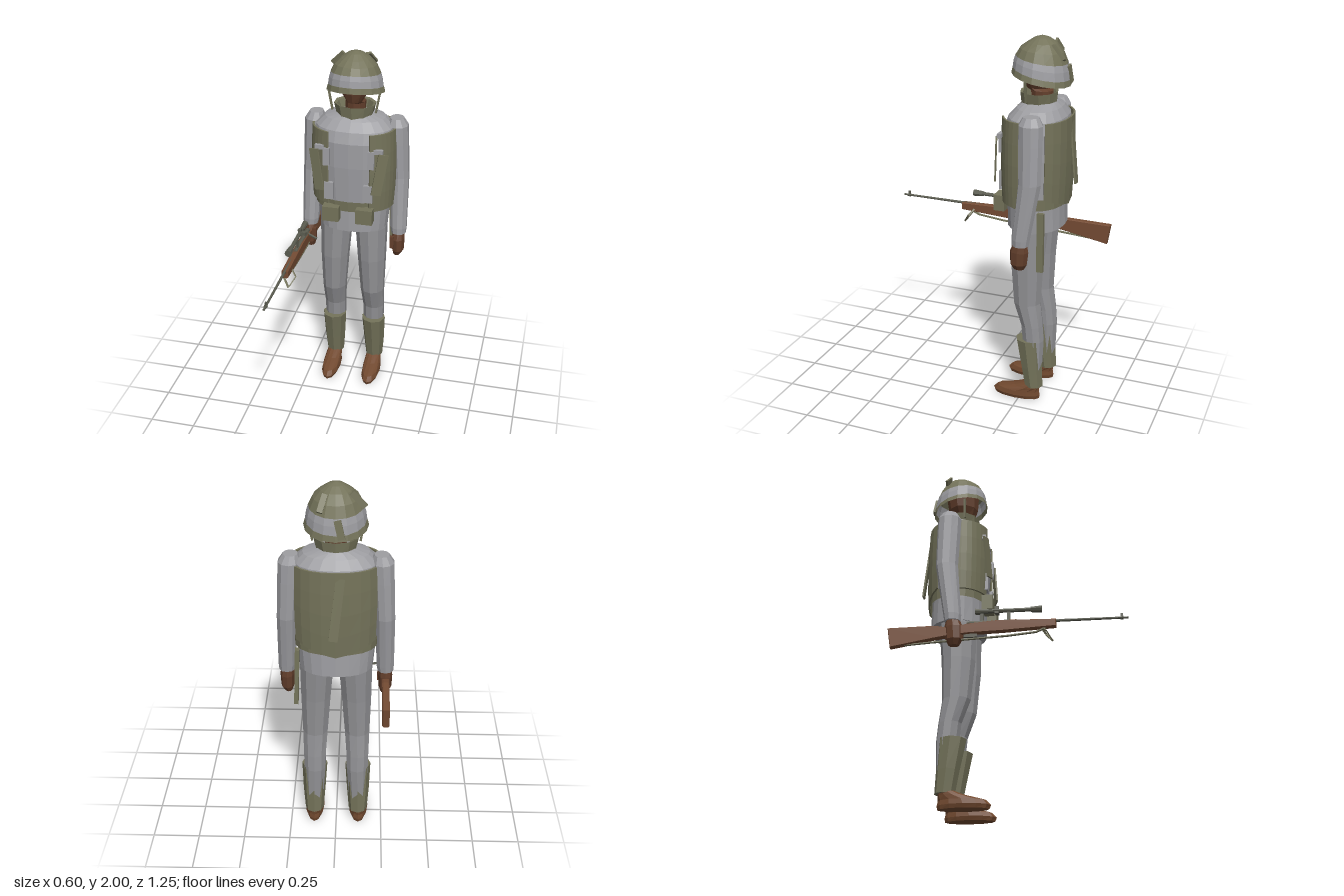
import * as THREE from 'three';

const mat = (name, color, double) => {
  const m = new THREE.MeshStandardMaterial({ color, flatShading: true });
  m.name = name;
  if (double) m.side = THREE.DoubleSide;
  return m;
};

export function createModel() {
  const jacket = mat('jacketGrey', 0x9e9ea2, true);
  const trousers = mat('trouserGrey', 0x929295);
  const olive = mat('olive', 0x74735a, true);
  const skin = mat('skinBrown', 0x633f2c);
  const leather = mat('shoeBrown', 0x71492f);
  const wood = mat('woodBrown', 0x754c34);
  const metal = mat('gunMetal', 0x5b5c50);

  const model = new THREE.Group();
  model.name = 'soldier';
  let target = model;
  const add = (name, geo, material) => {
    const mesh = new THREE.Mesh(geo, material);
    mesh.name = name;
    target.add(mesh);
    return mesh;
  };

  // Grid surface from fn(column, row)
  function grid(fn, nu, nv, caps = []) {
    const pos = [], idx = [];
    for (let j = 0; j <= nv; j++) for (let i = 0; i <= nu; i++) pos.push(...fn(i, j));
    const w = nu + 1;
    for (let j = 0; j < nv; j++) for (let i = 0; i < nu; i++) {
      const p = j * w + i;
      idx.push(p, p + 1, p + w + 1, p, p + w + 1, p + w);
    }
    caps.forEach(([row, c]) => {
      const k = pos.length / 3;
      pos.push(...c);
      for (let i = 0; i < nu; i++) {
        const p = row * w + i;
        if (row) idx.push(k, p, p + 1); else idx.push(k, p + 1, p);
      }
    });
    const g = new THREE.BufferGeometry();
    g.setAttribute('position', new THREE.Float32BufferAttribute(pos, 3));
    g.setIndex(idx);
    g.computeVertexNormals();
    return g;
  }

  const pw = (v, e) => Math.sign(v) * Math.abs(v) ** e;
  // Rings, bottom to top: [y, cx, cz, rx, rz, tilt]
  function loft(rings, n = 8, { power = 1, bottom = true, top = true } = {}) {
    const last = rings.length - 1, caps = [];
    if (bottom) caps.push([0, [rings[0][1], rings[0][0], rings[0][2]]]);
    if (top) caps.push([last, [rings[last][1], rings[last][0], rings[last][2]]]);
    return grid((i, j) => {
      const [y, cx, cz, rx, rz, tilt = 0] = rings[j], a = (i % n) / n * Math.PI * 2;
      return [cx + rx * pw(Math.sin(a), power), y + tilt * Math.cos(a), cz + rz * pw(Math.cos(a), power)];
    }, n, last, caps);
  }

  // Flat bar between two points
  function bar(name, material, a, b, w, t, turn = 0) {
    const A = new THREE.Vector3(...a), B = new THREE.Vector3(...b), d = B.clone().sub(A);
    const g = new THREE.BoxGeometry(w, d.length(), t);
    g.rotateY(turn);
    const m = add(name, g, material);
    m.position.copy(A).lerp(B, 0.5);
    m.quaternion.setFromUnitVectors(new THREE.Vector3(0, 1, 0), d.normalize());
    return m;
  }
  function box(name, material, w, h, d, x, y, z) {
    add(name, new THREE.BoxGeometry(w, h, d), material).position.set(x, y, z);
  }

  // Jacket and collar
  add('jacket', loft([
    [1.01, 0, -0.29, 0.19, 0.15], [1.14, 0, -0.287, 0.202, 0.148], [1.2, 0, -0.285, 0.205, 0.15],
    [1.4, 0, -0.285, 0.22, 0.163], [1.54, 0, -0.285, 0.222, 0.163], [1.6, 0, -0.29, 0.212, 0.148],
    [1.645, 0, -0.295, 0.165, 0.112], [1.67, 0, -0.295, 0.09, 0.085]], 20, { power: 0.88 }), jacket);
  add('collar', loft([[1.63, 0, -0.285, 0.092, 0.09], [1.72, 0, -0.285, 0.115, 0.098],
    [1.715, 0, -0.285, 0.1, 0.085], [1.66, 0, -0.285, 0.08, 0.075]], 10, { bottom: false, top: false }), olive);

  // Head and neck
  add('head', loft([[1.62, 0, -0.3, 0.055, 0.055], [1.725, 0, -0.3, 0.055, 0.06], [1.735, 0, -0.275, 0.045, 0.06],
    [1.79, 0, -0.28, 0.078, 0.083], [1.87, 0, -0.285, 0.088, 0.092], [1.93, 0, -0.29, 0.05, 0.05]], 10), skin);

  // Helmet: rim, pale band, dome
  const hz = -0.295, rim = [1.815, 0, hz, 0.149, 0.147, 0.03], brow = [1.885, 0, hz, 0.134, 0.134, 0.02];
  const open = { bottom: false, top: false };
  add('helmetRim', loft([[1.785, 0, hz, 0.158, 0.153, 0.03], rim], 16, open), olive);
  add('helmetBand', loft([rim, [1.855, 0, hz, 0.143, 0.142, 0.025], brow], 16, open), jacket);
  add('helmetDome', loft([brow, [1.93, 0, hz, 0.112, 0.112, 0.01], [1.965, 0, hz, 0.078, 0.078],
    [1.99, 0, hz, 0.04, 0.04], [2, 0, hz, 0.008, 0.008]], 16, { bottom: false }), olive);
  bar('helmetLeaf', olive, [-0.14, 1.9, -0.36], [-0.075, 1.965, -0.345], 0.03, 0.012);
  bar('helmetLeaf', olive, [0.075, 1.9, -0.435], [0.05, 1.965, -0.37], 0.028, 0.012);
  bar('helmetLeaf', olive, [-0.03, 1.77, -0.445], [-0.01, 1.86, -0.435], 0.035, 0.012);

  // Vest panels follow the jacket: angles in degrees, edges tucked inward
  function panel(name, a0, a1, low, high) {
    const nu = 10, nv = 6;
    add(name, grid((i, j) => {
      const edge = i === 0 || i === nu || j === 0 || j === nv;
      const u = THREE.MathUtils.clamp((i - 1) / (nu - 2), 0, 1), v = THREE.MathUtils.clamp((j - 1) / (nv - 2), 0, 1);
      const a = THREE.MathUtils.degToRad(a0 + (a1 - a0) * u);
      const y = low(u) + (high - low(u)) * v, k = edge ? 0.95 : 1;
      const s = 0.94 + 0.06 * Math.sin(Math.PI * THREE.MathUtils.clamp((y - 1.08) / 0.64, 0, 1));
      return [0.236 * s * k * pw(Math.sin(a), 0.88), y, -0.285 + 0.18 * s * k * pw(Math.cos(a), 0.88)];
    }, nu, nv), olive);
  }
  panel('vestSideLeft', 27, 100, () => 1.15, 1.6);
  panel('vestSideRight', -100, -27, () => 1.18, 1.6);
  panel('vestBack', 122, 238, u => 1.2 - 0.07 * (1 - Math.abs(2 * u - 1)), 1.6);
  bar('backStrip', olive, [0.01, 1.25, -0.497], [-0.025, 1.57, -0.455], 0.045, 0.009);

  // Belt and pouches
  add('belt', loft([[1.14, 0, -0.287, 0.213, 0.16], [1.2, 0, -0.285, 0.216, 0.162]], 20, { power: 0.88, ...open }), olive);
  bar('sheath', olive, [0.205, 0.81, -0.375], [0.195, 1.13, -0.37], 0.022, 0.035);

  for (const s of [-1, 1]) {
    const side = s > 0 ? 'Left' : 'Right';
    const part = (name, rings, material, n) => add(name + side, loft(rings.map(([y, x, ...r]) => [y, x * s, ...r]), n), material);
    box('beltPouch' + side, olive, 0.092, 0.085, 0.06, s * 0.093, 1.132, -0.12);
    // Loose leaf strips and pale clasps on the vest
    bar('vestLeaf' + side, olive, [s * 0.155, 1.27, -0.105], [s * 0.19, 1.5, -0.125], 0.055, 0.009, s * 0.35);
    box('upperClasp' + side, jacket, 0.035, 0.1, 0.02, s * 0.122, 1.46, -0.128);
    box('upperClaspTab' + side, jacket, 0.05, 0.025, 0.02, s * 0.16, 1.51, -0.135);
    box('lowerClasp' + side, jacket, 0.05, 0.1, 0.02, s * 0.108, 1.26, -0.128);
    bar('chinStrap' + side, olive, [s * 0.118, 1.68, -0.255], [s * 0.138, 1.79, -0.255], 0.01, 0.012);

    part('arm', [[0.965, 0.255, -0.285, 0.042, 0.043], [1, 0.253, -0.287, 0.047, 0.047],
      [1.3, 0.246, -0.325, 0.052, 0.06], [1.5, 0.235, -0.322, 0.055, 0.064],
      [1.6, 0.228, -0.32, 0.058, 0.064], [1.64, 0.222, -0.32, 0.038, 0.042]], jacket, 10);
    part('hand', [[0.83, 0.25, -0.275, 0.02, 0.028], [0.86, 0.255, -0.275, 0.034, 0.045],
      [0.93, 0.255, -0.278, 0.037, 0.05], [0.98, 0.255, -0.285, 0.03, 0.034]], skin);
    box('thumb' + side, skin, 0.022, 0.07, 0.025, s * 0.225, 0.915, -0.245);
    part('trouserLeg', [[0.09, 0.12, -0.322, 0.045, 0.044], [0.36, 0.115, -0.316, 0.06, 0.06],
      [0.45, 0.115, -0.308, 0.062, 0.06], [0.58, 0.112, -0.277, 0.069, 0.075],
      [0.8, 0.107, -0.272, 0.081, 0.09], [1.0, 0.1, -0.28, 0.091, 0.1], [1.08, 0.095, -0.285, 0.09, 0.1]], trousers, 10);
    part('gaiter', [[0.08, 0.12, -0.324, 0.05, 0.052], [0.2, 0.12, -0.311, 0.06, 0.06],
      [0.365, 0.118, -0.293, 0.069, 0.074]], olive);
    part('shoe', [[0, 0.122, -0.228, 0.045, 0.13], [0.02, 0.122, -0.226, 0.053, 0.136],
      [0.045, 0.122, -0.235, 0.05, 0.122], [0.07, 0.121, -0.285, 0.046, 0.074], [0.095, 0.12, -0.318, 0.04, 0.044]], leather, 12);
  }

  // Rifle, pointing forward beside the right hand
  const rifle = target = new THREE.Group();
  rifle.name = 'rifle';
  rifle.position.x = -0.256;
  model.add(rifle);
  const outline = [[0.255, 0.95], [0.255, 0.908], [-0.02, 0.893], [-0.2, 0.888], [-0.3, 0.878], [-0.38, 0.866],
    [-0.608, 0.825], [-0.625, 0.937], [-0.375, 0.94], [-0.3, 0.925], [-0.2, 0.945], [-0.05, 0.957]];
  const stock = new THREE.ExtrudeGeometry(new THREE.Shape(outline.map(p => new THREE.Vector2(...p))),
    { depth: 0.024, bevelThickness: 0.006, bevelSize: 0.004, bevelOffset: -0.004, bevelSegments: 1 });
  stock.translate(0, 0, -0.012).rotateY(-Math.PI / 2);
  add('stock', stock, wood);
  const tube = (name, y, z0, z1, r0, r1 = r0) => {
    const g = new THREE.CylinderGeometry(r1, r0, z1 - z0, 8).rotateX(Math.PI / 2);
    add(name, g, metal).position.set(0, y, (z0 + z1) / 2);
  };
  tube('barrel', 0.945, 0, 0.625, 0.009, 0.006);
  tube('muzzleCollar', 0.945, 0.585, 0.6, 0.01);
  box('frontSight', metal, 0.006, 0.025, 0.014, 0, 0.957, 0.592);
  tube('receiver', 0.948, -0.21, 0.05, 0.014);
  bar('boltHandle', metal, [0.005, 0.945, -0.18], [0.065, 0.925, -0.165], 0.01, 0.01);
  box('triggerGuard', metal, 0.012, 0.02, 0.07, 0, 0.88, -0.19);

  // Scope
  tube('scopeBody', 1.015, -0.12, 0.13, 0.011);
  tube('scopeFront', 1.015, 0.125, 0.182, 0.015, 0.02);
  tube('scopeRear', 1.015, -0.165, -0.095, 0.018, 0.013);
  box('scopeTurret', metal, 0.018, 0.04, 0.022, 0, 1.02, -0.053);
  box('scopeKnob', metal, 0.03, 0.018, 0.02, 0.02, 1.015, -0.053);
  for (const z of [0.01, -0.13]) box('scopeMount', metal, 0.012, 0.06, 0.018, 0, 0.982, z);

  // Sling and its front loop
  const sling = [[0, 0.915, 0.22], [0, 0.885, 0.15], [0, 0.87, 0], [0, 0.86, -0.2], [0, 0.85, -0.4], [0, 0.84, -0.55]];
  for (let i = 0; i < sling.length - 1; i++) bar('sling', olive, sling[i], sling[i + 1], 0.014, 0.006);
  const loop = [[0.01, 0.925, 0.17], [0.045, 0.89, 0.2], [0.012, 0.838, 0.235], [-0.02, 0.88, 0.205], [0.01, 0.925, 0.17]];
  for (let i = 0; i < 4; i++) bar('slingLoop', olive, loop[i], loop[i + 1], 0.01, 0.006);

  return model;
}
